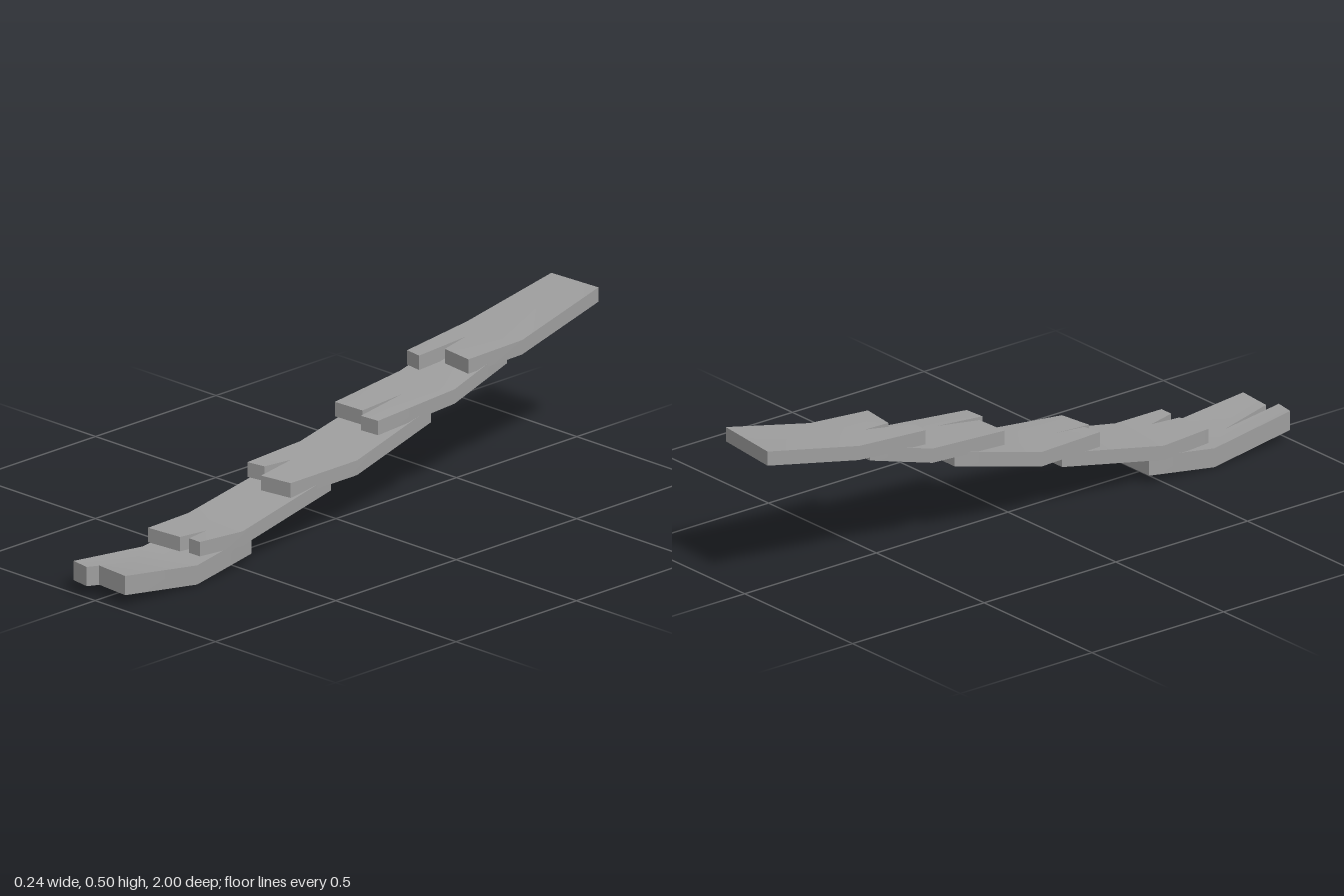
import * as THREE from 'three';
import { toCreasedNormals } from 'three/addons/utils/BufferGeometryUtils.js';

// One bent, split shingle: outline corners [x, top y, z] run from the back-left
// corner round to the front; the underside is the same outline lowered by t.
function shingleGeometry(outline, t) {
  const n = outline.length;
  const pos = [];
  outline.forEach(([x, y, z]) => pos.push(x, y, z));
  outline.forEach(([x, y, z]) => pos.push(x, y - t, z));
  // 0 back L, 1 mid L, 2 front L, 3 notch L, 4 notch apex, 5 notch R, 6 front R, 7 mid R, 8 back R
  const top = [[0, 1, 7], [0, 7, 8], [1, 4, 7], [1, 2, 4], [2, 3, 4], [4, 5, 6], [4, 6, 7]];
  const index = [];
  for (const [a, b, c] of top) index.push(a, b, c, a + n, c + n, b + n);
  // Rim around the edge, including the notch
  for (let i = 0; i < n; i++) {
    const j = (i + 1) % n;
    index.push(i, i + n, j, j, i + n, j + n);
  }
  const g = new THREE.BufferGeometry();
  g.setAttribute('position', new THREE.Float32BufferAttribute(pos, 3));
  g.setIndex(index);
  return toCreasedNormals(g, 0.6);
}

// back / mid: [left x, right x, top y, z]; left / right: front tongues
// [outer x, outer z, inner x, inner z, top y]; apex: notch end [x, top y, z]
const shingles = [
  { t: 0.06, back: [-0.105, 0.1, 0.092, 0.45], mid: [-0.115, 0.114, 0.06, 0.69],
    left: [-0.1, 0.99, -0.035, 1.0, 0.096], apex: [-0.027, 0.064, 0.8], right: [0.1, 0.975, -0.018, 0.965, 0.096] },
  { t: 0.045, back: [-0.105, 0.1, 0.19, 0.12], mid: [-0.113, 0.112, 0.117, 0.5],
    left: [-0.1, 0.68, 0.022, 0.67, 0.12], apex: [0.036, 0.119, 0.575], right: [0.1, 0.665, 0.055, 0.665, 0.123] },
  { t: 0.046, back: [-0.105, 0.105, 0.3, -0.29], mid: [-0.118, 0.118, 0.22, 0.03],
    left: [-0.103, 0.265, -0.042, 0.255, 0.218], apex: [-0.027, 0.218, 0.16], right: [0.092, 0.28, -0.016, 0.295, 0.206] },
  { t: 0.045, back: [-0.105, 0.1, 0.4, -0.61], mid: [-0.114, 0.113, 0.336, -0.38],
    left: [-0.1, -0.095, 0.01, -0.1, 0.315], apex: [0.023, 0.331, -0.25], right: [0.1, -0.075, 0.033, -0.07, 0.312] },
  { t: 0.045, back: [-0.106, 0.1, 0.49, -0.995], mid: [-0.116, 0.113, 0.418, -0.66],
    left: [-0.105, -0.4, -0.047, -0.392, 0.397], apex: [-0.027, 0.417, -0.565], right: [0.1, -0.45, -0.013, -0.465, 0.408] },
];

export function createModel() {
  const model = new THREE.Group();
  model.name = 'shingleStrip';
  const slate = new THREE.MeshStandardMaterial({ color: 0xa0a0a0 });
  slate.name = 'slate grey';

  shingles.forEach(({ t, back, mid, left, apex, right }, i) => {
    const tilt = i === 4 ? 0.005 : 0; // top shingle's back edge leans slightly
    const outline = [
      [back[0], back[2] - tilt, back[3] - tilt],
      [mid[0], mid[2], mid[3]],
      [left[0], left[4], left[1]],
      [left[2], left[4], left[3]],
      apex,
      [right[2], right[4], right[3]],
      [right[0], right[4], right[1]],
      [mid[1], mid[2], mid[3]],
      [back[1], back[2] + tilt, back[3] + tilt],
    ];
    const mesh = new THREE.Mesh(shingleGeometry(outline, t), slate);
    mesh.name = `shingle${i + 1}`;
    model.add(mesh);
  });
  return model;
}
